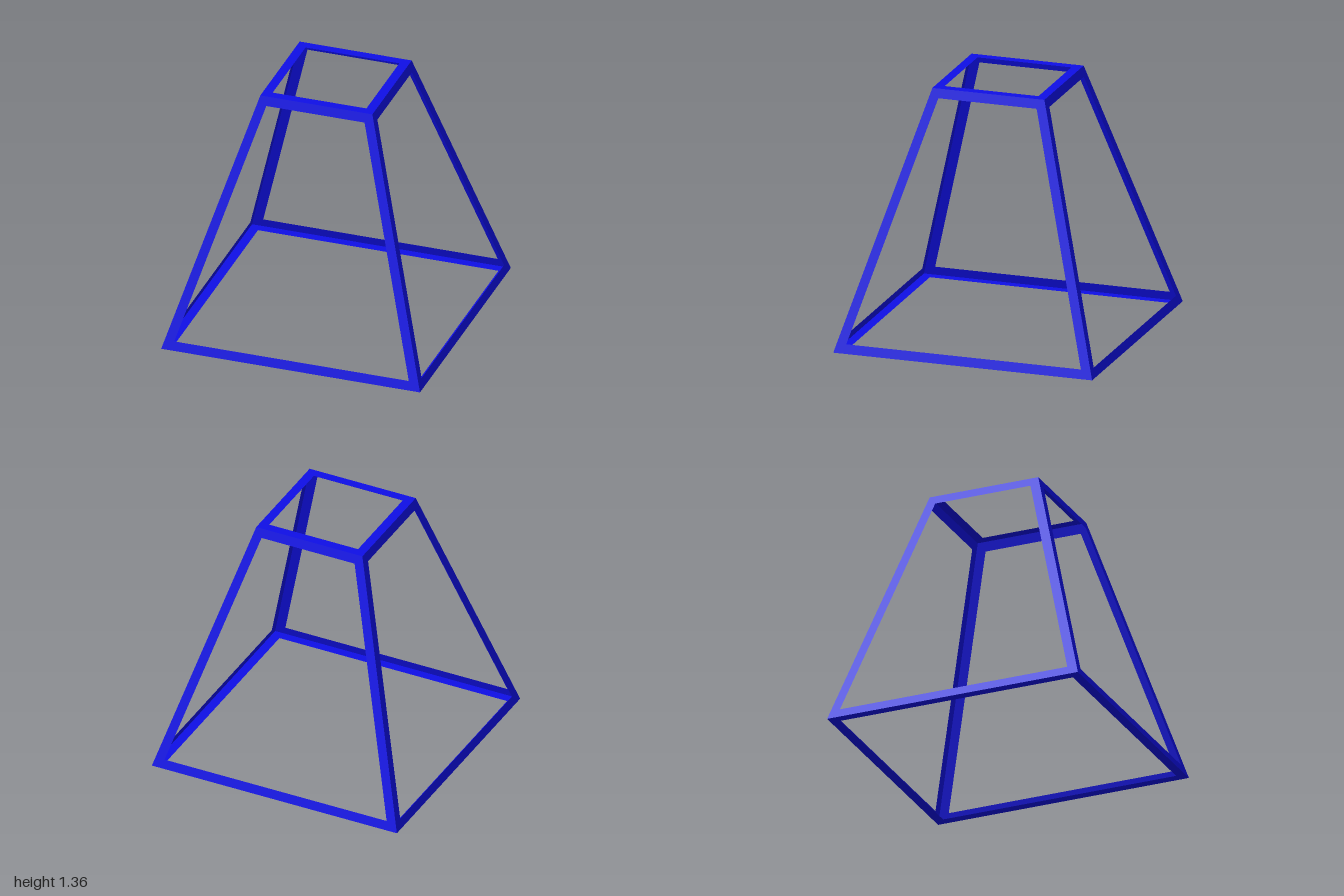
import * as THREE from 'three';

const HEIGHT = 1.355;
const BASE = 1.0 * Math.SQRT1_2; // half edge of the base square
const TOP = 0.433 * Math.SQRT1_2; // half edge of the top square
const STRIP = 0.05; // width of every strip

// Flat trapezoid frame standing on y = 0, with an even border around its opening
function trapezoidFrame(bottom, top, length) {
  const lean = (bottom - top) / length;
  const inset = STRIP * Math.hypot(1, lean);
  const half = (y) => bottom - lean * y;
  const outline = (y0, y1, border) => [
    new THREE.Vector2(-half(y0) + border, y0),
    new THREE.Vector2(half(y0) - border, y0),
    new THREE.Vector2(half(y1) - border, y1),
    new THREE.Vector2(-half(y1) + border, y1),
  ];
  const shape = new THREE.Shape(outline(0, length, 0));
  shape.holes.push(new THREE.Path(outline(STRIP, length - STRIP, inset).reverse()));
  return new THREE.ShapeGeometry(shape);
}

export function createModel() {
  const model = new THREE.Group();
  model.name = 'taperedFrame';
  const material = new THREE.MeshStandardMaterial({ color: 0x0f0fe6, side: THREE.DoubleSide });
  const add = (name, geometry) => {
    const mesh = new THREE.Mesh(geometry, material);
    mesh.name = name;
    model.add(mesh);
  };

  // Four leaning side frames, whose shared edges form the angled legs
  const slant = Math.hypot(HEIGHT, BASE - TOP);
  const tilt = Math.atan2(BASE - TOP, HEIGHT);
  for (let i = 0; i < 4; i++) {
    add(`sideFrame${i + 1}`, trapezoidFrame(BASE, TOP, slant)
      .rotateX(-tilt)
      .translate(0, 0, BASE)
      .rotateY(Math.PI / 4 + (i * Math.PI) / 2));
  }

  // Horizontal square frames closing the top and the base
  add('topFrame', trapezoidFrame(TOP, TOP, 2 * TOP)
    .translate(0, -TOP, 0)
    .rotateX(-Math.PI / 2)
    .rotateY(Math.PI / 4)
    .translate(0, HEIGHT, 0));
  add('baseFrame', trapezoidFrame(BASE, BASE, 2 * BASE)
    .translate(0, -BASE, 0)
    .rotateX(Math.PI / 2)
    .rotateY(Math.PI / 4));

  return model;
}
